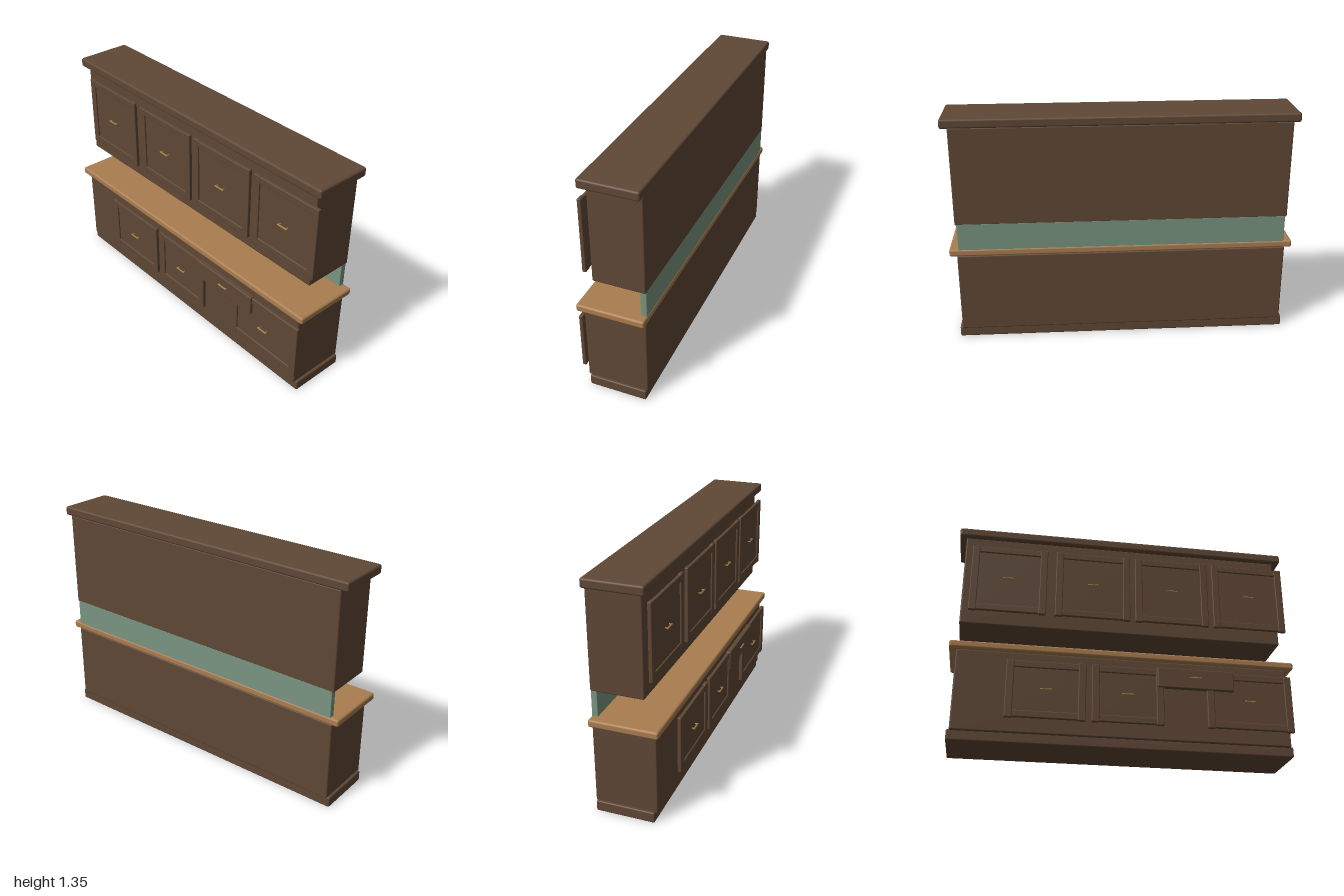
import * as THREE from 'three';
import { RoundedBoxGeometry } from 'three/addons/geometries/RoundedBoxGeometry.js';

const material = (name, color) => {
  const m = new THREE.MeshStandardMaterial({ color });
  m.name = name;
  return m;
};

export function createModel() {
  const wood = material('dark wood', 0x5f4735);
  const worktop = material('light wood', 0xaa7d50);
  const tile = material('green tile', 0x799480);
  const brass = material('brass', 0xa07c40);

  const model = new THREE.Group();
  model.name = 'kitchenDresser';

  // Softly rounded box given by its limits on each axis
  function box(parent, name, mat, [x0, x1], [y0, y1], [z0, z1], radius = 0.008) {
    const w = x1 - x0, h = y1 - y0, d = z1 - z0;
    const r = Math.min(radius, Math.min(w, h, d) * 0.45);
    const mesh = new THREE.Mesh(new RoundedBoxGeometry(w, h, d, 3, r), mat);
    mesh.position.set((x0 + x1) / 2, (y0 + y1) / 2, (z0 + z1) / 2);
    mesh.name = name;
    parent.add(mesh);
  }

  // Bar pull on two short posts
  function handle(parent, x, y, z) {
    const pull = new THREE.Group();
    pull.name = 'handle';
    const bar = new THREE.Mesh(new THREE.CapsuleGeometry(0.005, 0.06, 4, 10), brass);
    bar.name = 'handleBar';
    bar.rotation.z = Math.PI / 2;
    bar.position.z = 0.015;
    pull.add(bar);
    for (const side of [-1, 1]) {
      const post = new THREE.Mesh(new THREE.CylinderGeometry(0.004, 0.004, 0.016, 10), brass);
      post.name = 'handlePost';
      post.rotation.x = Math.PI / 2;
      post.position.set(side * 0.026, 0, 0.007);
      pull.add(post);
    }
    pull.position.set(x, y, z);
    parent.add(pull);
  }

  // Door: recessed panel framed by two stiles and two rails
  function door(name, [x0, x1], [y0, y1], z, handleX, handleY) {
    const g = new THREE.Group();
    g.name = name;
    const s = 0.044;
    box(g, 'panel', wood, [x0 + 0.02, x1 - 0.02], [y0 + 0.02, y1 - 0.02], [z, z + 0.012], 0.003);
    box(g, 'leftStile', wood, [x1 - s, x1], [y0, y1], [z, z + 0.022], 0.005);
    box(g, 'rightStile', wood, [x0, x0 + s], [y0, y1], [z, z + 0.022], 0.005);
    box(g, 'topRail', wood, [x0 + s - 0.005, x1 - s + 0.005], [y1 - s, y1 - 0.004], [z, z + 0.02], 0.005);
    box(g, 'bottomRail', wood, [x0 + s - 0.005, x1 - s + 0.005], [y0 + 0.004, y0 + s], [z, z + 0.02], 0.005);
    handle(g, handleX, handleY, z + 0.012);
    model.add(g);
  }

  // Carcass, from the floor up
  box(model, 'plinth', wood, [-0.975, 0.972], [0, 0.062], [-0.19, 0.146]);
  box(model, 'lowerCabinet', wood, [-0.96, 0.957], [0.055, 0.53], [-0.197, 0.16]);
  box(model, 'countertop', worktop, [-1, 1], [0.53, 0.573], [-0.203, 0.185], 0.012);
  box(model, 'backsplash', tile, [-0.95, 0.947], [0.565, 0.73], [-0.199, -0.165], 0.003);
  box(model, 'upperCabinet', wood, [-0.96, 0.957], [0.723, 1.296], [-0.199, 0.1]);
  box(model, 'crown', wood, [-1, 1], [1.292, 1.345], [-0.203, 0.131], 0.012);

  // Four upper doors
  [-0.692, -0.19, 0.291, 0.772].forEach((x) =>
    door('upperDoor', [x - 0.225, x + 0.225], [0.8, 1.233], 0.108, x, 1.018));

  // Three lower doors and one drawer
  door('lowerDoor', [-0.676, -0.227], [0.135, 0.478], 0.163, -0.45, 0.305);
  door('lowerDoor', [-0.195, 0.217], [0.135, 0.478], 0.163, 0.01, 0.305);
  door('lowerDoor', [0.468, 0.976], [0.135, 0.478], 0.163, 0.722, 0.305);
  const drawer = new THREE.Group();
  drawer.name = 'drawer';
  box(drawer, 'drawerFront', wood, [0.179, 0.628], [0.362, 0.482], [0.163, 0.194], 0.006);
  handle(drawer, 0.402, 0.426, 0.187);
  model.add(drawer);

  return model;
}
